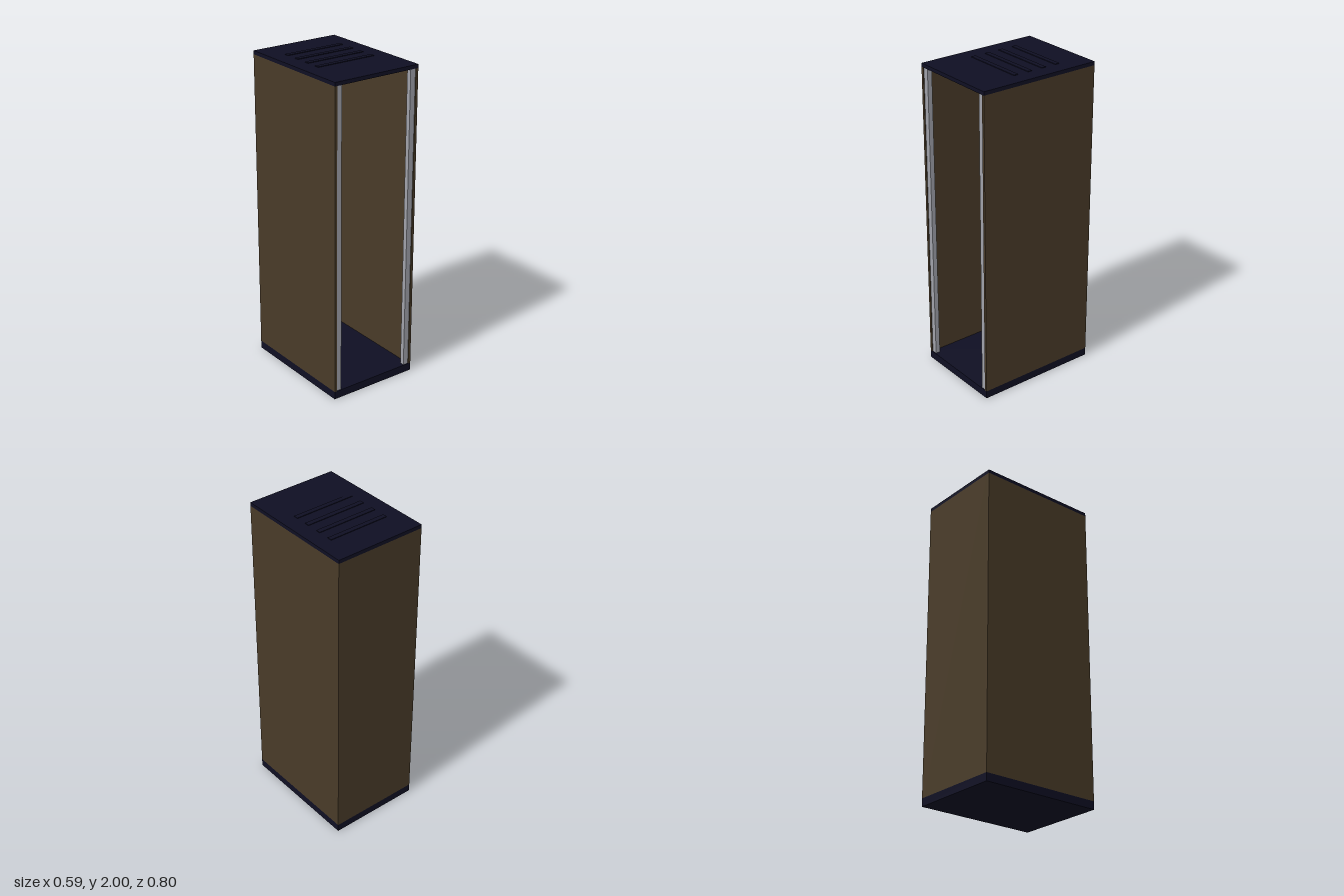
import * as THREE from 'three';

export function createModel() {
  const model = new THREE.Group();
  model.name = 'openRackCabinet';

  const navy = new THREE.MeshStandardMaterial({ color: 0x0f0f23 });
  navy.name = 'dark navy';
  const brown = new THREE.MeshStandardMaterial({ color: 0x493b28 });
  brown.name = 'dark brown';
  const steel = new THREE.MeshStandardMaterial({ color: 0xa0a2aa });
  steel.name = 'steel grey';

  // Box given by its lower and upper corners
  function box(name, material, [x0, y0, z0], [x1, y1, z1]) {
    const mesh = new THREE.Mesh(new THREE.BoxGeometry(x1 - x0, y1 - y0, z1 - z0), material);
    mesh.position.set((x0 + x1) / 2, (y0 + y1) / 2, (z0 + z1) / 2);
    mesh.name = name;
    model.add(mesh);
  }

  const W = 0.297, D = 0.4, floorY = 0.05, roofY = 1.973, wall = 0.017;

  // Plinth and roof
  box('base', navy, [-W, 0, -D], [W, floorY, D]);
  box('roof', navy, [-W, roofY, -D], [W, 1.996, D]);

  // Low vent strips on the roof
  for (let i = 0; i < 4; i++) {
    const z = -0.2 + i * 0.1;
    box('roofVent', navy, [-0.2, 1.996, z - 0.015], [0.2, 2, z + 0.015]);
  }

  // Back panel between the side panels
  box('backPanel', brown, [-W + wall, floorY, -D], [W - wall, roofY, -D + wall]);

  // Side panels and mounting rails, mirrored
  for (const [side, s] of [['left', 1], ['right', -1]]) {
    const span = (a, b) => [Math.min(s * a, s * b), Math.max(s * a, s * b)];
    const [p0, p1] = span(W - wall, W);
    box(side + 'Panel', brown, [p0, floorY, -D], [p1, roofY, D]);

    const [r0, r1] = span(0.245, W - wall);
    box(side + 'FrontRail', steel, [r0, floorY, 0.365], [r1, roofY, 0.395]);
    box(side + 'RearRail', steel, [r0, floorY, -D + wall], [r1, roofY, -0.355]);
  }

  return model;
}
